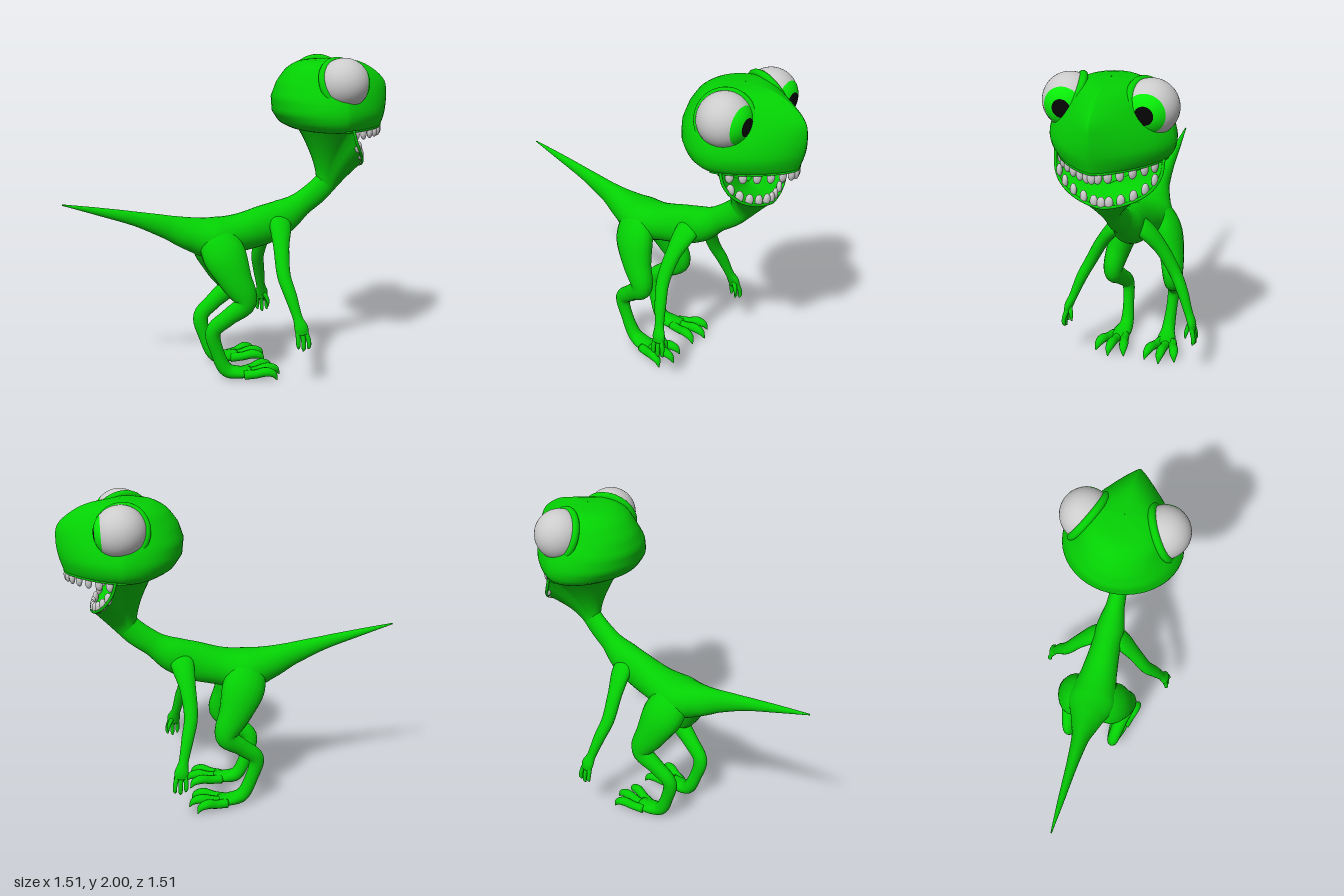
import * as THREE from 'three';

const V = (x, y, z) => new THREE.Vector3(x, y, z);
const mat = (color) => new THREE.MeshStandardMaterial({ color });
const skin = mat(0x04d004), grey = mat(0xcccccc), irisMat = mat(0x08f008), pupilMat = mat(0x050505);
skin.side = THREE.DoubleSide;

function add(parent, name, geo, material = skin) {
  const m = new THREE.Mesh(geo, material);
  m.name = name;
  parent.add(m);
  return m;
}

// Smooth skin over closed rings of points (counter-clockwise about the loft direction)
function skinRings(rings) {
  const n = rings[0].length, pos = [], idx = [];
  rings.forEach((r) => r.forEach((p) => pos.push(p.x, p.y, p.z)));
  for (let i = 0; i < rings.length - 1; i++) {
    for (let j = 0; j < n; j++) {
      const k = (j + 1) % n, a = i * n + j, b = i * n + k;
      idx.push(a, b, a + n, b, b + n, a + n);
    }
  }
  const g = new THREE.BufferGeometry();
  g.setAttribute('position', new THREE.Float32BufferAttribute(pos, 3));
  g.setIndex(idx);
  g.computeVertexNormals();
  return g;
}

// Organic tube: rows of [x, y, z, half width, half height], s mirrors x
function limb(rows, s = 1, steps = 6, n = 18) {
  const path = new THREE.CatmullRomCurve3(rows.map((r) => V(r[0] * s, r[1], r[2])));
  const size = new THREE.CatmullRomCurve3(rows.map((r) => V(r[3], r[4] ?? r[3], r[2] * 0.01)));
  const rings = [], N = (rows.length - 1) * steps;
  for (let i = -1; i <= N + 1; i++) {
    const u = Math.min(1, Math.max(0, i / N));
    const c = path.getPoint(u), t = path.getTangent(u), r = size.getPoint(u);
    if (i < 0 || i > N) r.set(0.0005, 0.0005, 0);
    const side = V(1, 0, 0).addScaledVector(t, -t.x).normalize();
    const up = t.clone().cross(side);
    rings.push(Array.from({ length: n }, (_, j) => {
      const a = (j / n) * Math.PI * 2;
      return c.clone().addScaledVector(side, Math.cos(a) * r.x).addScaledVector(up, Math.sin(a) * r.y);
    }));
  }
  return skinRings(rings);
}

// Head outline at one height: round back, snout more pointed towards the brow
function headPoint(a, y, w, back, front) {
  const c = Math.cos(a), s = Math.sin(a), p = c > 0 ? 1.4 + 1.4 * Math.max(0, y - 1.65) : 1;
  const x = Math.sign(s) * w * Math.abs(s) ** p;
  return V(x, y, 0.6 + (c > 0 ? front * c ** p : back * c));
}

// Edge of the open lower jaw
function jawPoint(a) {
  const c = Math.cos(a), s = Math.sin(a), x = 0.31 * Math.sign(s) * Math.abs(s) ** (c > 0 ? 1.35 : 1);
  return c > 0 ? V(x, 1.57 - 0.26 * c ** 0.65, 0.66 + 0.155 * c) : V(x, 1.57 - 0.03 * c, 0.66 + 0.26 * c);
}

const SEG = 48;
const loop = (f) => Array.from({ length: SEG }, (_, j) => f((j / SEG) * Math.PI * 2));

function buildHead(group) {
  const head = new THREE.Group();
  head.name = 'head';
  group.add(head);

  // Skull: [y, half width, back reach, front reach]
  const levels = [
    [1.60, 0.001, 0.001, 0.001], [1.585, 0.2, 0.12, 0.25], [1.55, 0.3, 0.2, 0.355], [1.59, 0.345, 0.29, 0.375],
    [1.66, 0.36, 0.34, 0.395], [1.75, 0.335, 0.35, 0.405], [1.84, 0.28, 0.32, 0.39],
    [1.92, 0.235, 0.26, 0.3], [1.968, 0.16, 0.18, 0.19], [1.985, 0.002, 0.002, 0.002],
  ];
  const curve = new THREE.CatmullRomCurve3(levels.map((l) => V(l[1], l[0], l[3])));
  const rings = [];
  for (let i = 0; i <= 36; i++) {
    const q = curve.getPoint(i / 36), k = Math.min(8, Math.floor(i / 4));
    const back = THREE.MathUtils.lerp(levels[k][2], levels[k + 1][2], i / 4 - k);
    rings.push(loop((a) => headPoint(a, q.y, q.x, back, q.z)));
  }
  add(head, 'skull', skinRings(rings));

  // Throat flares from the neck to the jaw edge, then folds in as the mouth floor
  const throat = [];
  for (let i = 0; i <= 12; i++) {
    const t = i / 12, e = t ** 1.5;
    throat.push(loop((a) => {
      const r = jawPoint(a), c = Math.cos(a);
      const nx = 0.05 * Math.sin(a), ny = 1.19 - 0.052 * c, nz = 0.597 + 0.054 * c;
      return V(nx + (r.x - nx) * e, ny + (r.y - ny) * t, nz + (r.z - nz) * (c > 0 ? t : e));
    }));
  }
  add(head, 'lowerJaw', skinRings(throat));
  const floor = [0, 0.3, 0.6, 0.85, 0.99].map((t) => loop((a) => {
    const r = jawPoint(a).lerp(V(0, 1.39, 0.65), t);
    r.y -= 0.05 * Math.sin(t * Math.PI) * Math.max(0, -Math.cos(a));
    return r;
  }));
  add(head, 'mouthFloor', skinRings(floor));

  // Lips and teeth
  const upper = (a) => headPoint(a, 1.56, 0.315, 0.2, 0.36);
  [['upperLip', upper], ['lowerLip', jawPoint]].forEach(([name, f]) => {
    const pts = Array.from({ length: 25 }, (_, i) => f((i / 24 - 0.5) * Math.PI));
    add(head, name, new THREE.TubeGeometry(new THREE.CatmullRomCurve3(pts), 60, 0.009, 8));
  });
  const toothGeo = new THREE.SphereGeometry(1, 12, 10);
  [['upperTooth', upper, -0.024, 13, 1.15], ['lowerTooth', jawPoint, 0.024, 11, 1.2]].forEach(([name, f, dy, count, span]) => {
    for (let i = 0; i < count; i++) {
      const a = (i / (count - 1) * 2 - 1) * span, p = f(a);
      const tooth = add(head, name, toothGeo, grey);
      tooth.position.set(p.x * 0.97, p.y + dy, p.z - 0.008);
      tooth.rotation.y = a;
      tooth.scale.set(0.024, 0.037, 0.017);
    }
  });

  // Eyes look straight ahead, each set in a raised, upward-tilted lid
  for (const s of [-1, 1]) {
    const eye = new THREE.Group();
    eye.name = s > 0 ? 'leftEye' : 'rightEye';
    eye.position.set(0.228 * s, 1.842, 0.622);
    head.add(eye);
    add(eye, 'eyeball', new THREE.SphereGeometry(0.155, 40, 28), grey);
    const cap = (name, r, angle, m) => {
      add(eye, name, new THREE.SphereGeometry(r, 36, 12, 0, Math.PI * 2, 0, angle), m).rotation.x = Math.PI / 2 + 0.04;
    };
    cap('iris', 0.1562, 0.78, irisMat);
    cap('pupil', 0.1574, 0.34, pupilMat);
    const n = V(0.86 * s, 0.4, 0.32).normalize();
    const lid = add(eye, 'eyelid', new THREE.TorusGeometry(0.152, 0.024, 12, 48));
    lid.quaternion.setFromUnitVectors(V(0, 0, 1), n);
    lid.position.copy(n).multiplyScalar(-0.015);
  }
}

export function createModel() {
  const model = new THREE.Group();
  model.name = 'creature';
  const body = new THREE.Group();
  body.name = 'figure';
  body.rotation.y = Math.PI * 0.75;
  model.add(body);

  // Tail, trunk and neck in one sweep
  add(body, 'trunk', limb([
    [0, 1.147, -1.063, 0.004], [0, 1.095, -0.85, 0.02, 0.024], [0, 1.035, -0.62, 0.034, 0.045],
    [0, 0.97, -0.42, 0.055, 0.075], [0, 0.92, -0.28, 0.1, 0.105], [0, 0.885, -0.13, 0.15, 0.13],
    [0, 0.91, 0.04, 0.115, 0.12], [0, 0.95, 0.2, 0.095, 0.125], [0, 1.0, 0.33, 0.09, 0.11],
    [0, 1.075, 0.45, 0.06, 0.078], [0, 1.155, 0.56, 0.051, 0.077], [0, 1.25, 0.65, 0.048, 0.072],
  ], 1, 8, 28));

  buildHead(body);

  for (const s of [-1, 1]) {
    const sideName = s > 0 ? 'left' : 'right';

    // Leg with forward knee and raised hock
    const leg = new THREE.Group();
    leg.name = sideName + 'Leg';
    body.add(leg);
    add(leg, 'legSkin', limb([
      [0.01, 0.91, -0.14, 0.05, 0.09], [0.07, 0.885, -0.13, 0.08, 0.12], [0.128, 0.8, -0.1, 0.09, 0.135],
      [0.175, 0.66, -0.045, 0.078, 0.105],
      [0.2, 0.51, 0.015, 0.06, 0.07], [0.18, 0.42, -0.085, 0.046, 0.055], [0.16, 0.33, -0.18, 0.04, 0.05],
      [0.15, 0.19, -0.155, 0.036, 0.042], [0.145, 0.06, -0.09, 0.045, 0.045], [0.155, 0.04, -0.01, 0.06, 0.036],
      [0.165, 0.04, 0.06, 0.055, 0.03],
    ], s));
    for (const [x0, x1, z1] of [[0.125, 0.07, 0.225], [0.165, 0.17, 0.25], [0.2, 0.265, 0.205]]) {
      const at = (t) => x0 + (x1 - x0) * t, dz = (t) => 0.01 + (z1 - 0.01) * t;
      add(leg, 'toe', limb([
        [x0, 0.035, 0.01, 0.03], [at(0.35), 0.043, dz(0.35), 0.028], [at(0.65), 0.058, dz(0.65), 0.03],
        [at(0.85), 0.045, dz(0.88), 0.023], [x1, 0.006, z1, 0.003],
      ], s, 5, 12));
    }

    // Arm hanging outward, with slim fingers
    const arm = new THREE.Group();
    arm.name = sideName + 'Arm';
    body.add(arm);
    add(arm, 'armSkin', limb([
      [0.005, 1.01, 0.29, 0.04, 0.07], [0.085, 0.96, 0.275, 0.045, 0.072], [0.185, 0.835, 0.25, 0.04, 0.05],
      [0.27, 0.68, 0.24, 0.037, 0.042], [0.325, 0.57, 0.265, 0.034, 0.038], [0.375, 0.44, 0.295, 0.026, 0.03],
      [0.4, 0.38, 0.31, 0.026, 0.043], [0.408, 0.34, 0.315, 0.02, 0.038],
    ], s));
    for (const [k, y] of [[-1, 0.255], [0, 0.238], [1, 0.25]]) {
      add(arm, 'finger', limb([
        [0.402, 0.365, 0.312 + k * 0.022, 0.016], [0.42, 0.305, 0.318 + k * 0.034, 0.014],
        [0.422, y + 0.02, 0.32 + k * 0.034, 0.013], [0.415, y, 0.32 + k * 0.032, 0.005],
      ], s, 4, 10));
    }
    add(arm, 'thumb', limb([
      [0.39, 0.38, 0.32, 0.016], [0.375, 0.33, 0.345, 0.013], [0.37, 0.29, 0.35, 0.005],
    ], s, 4, 10));
  }
  return model;
}
